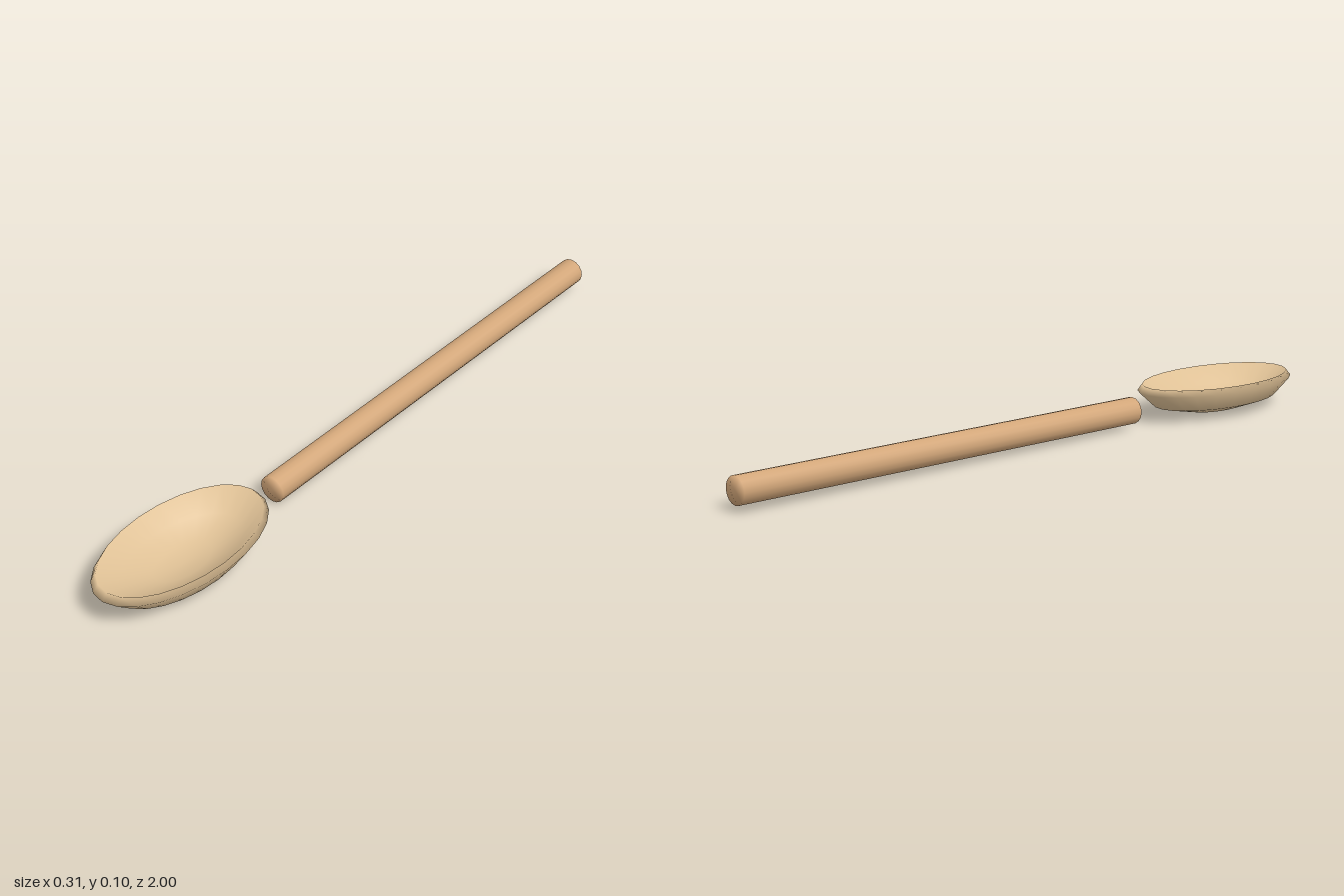
import * as THREE from 'three';
import { mergeVertices } from 'three/addons/utils/BufferGeometryUtils.js';

// Weld shared corners so shading rolls smoothly over every edge
function weld(geometry) {
  geometry.deleteAttribute('normal');
  geometry.deleteAttribute('uv');
  const welded = mergeVertices(geometry, 1e-4);
  welded.computeVertexNormals();
  return welded;
}

function part(name, geometry, color) {
  const mesh = new THREE.Mesh(geometry, new THREE.MeshStandardMaterial({ color }));
  mesh.name = name;
  return mesh;
}

export function createModel() {
  const spoon = new THREE.Group();
  spoon.name = 'spoon';

  // Bowl: a shell turned from outer bottom to rim to inner bottom, stretched along z
  const profile = [
    [0, 0.002], [0.055, 0.009], [0.122, 0.034], [0.154, 0.082],
    [0.145, 0.1], [0.108, 0.052], [0.052, 0.029], [0, 0.022],
  ].map(([r, y]) => new THREE.Vector2(r, y));
  const bowl = part('bowl', weld(new THREE.LatheGeometry(profile, 24)), 0xdec095);
  bowl.scale.z = 1.84;
  bowl.position.z = 0.717;
  spoon.add(bowl);

  // Handle: a round rod, rising very slightly towards the back
  const front = new THREE.Vector3(0, 0.05, 0.37);
  const back = new THREE.Vector3(0, 0.057, -1);
  const axis = back.clone().sub(front);
  const rod = new THREE.CylinderGeometry(0.038, 0.038, axis.length(), 16);
  const handle = part('handle', weld(rod), 0xd2a679);
  handle.quaternion.setFromUnitVectors(new THREE.Vector3(0, 1, 0), axis.clone().normalize());
  handle.position.copy(front).add(back).multiplyScalar(0.5);
  spoon.add(handle);

  return spoon;
}
